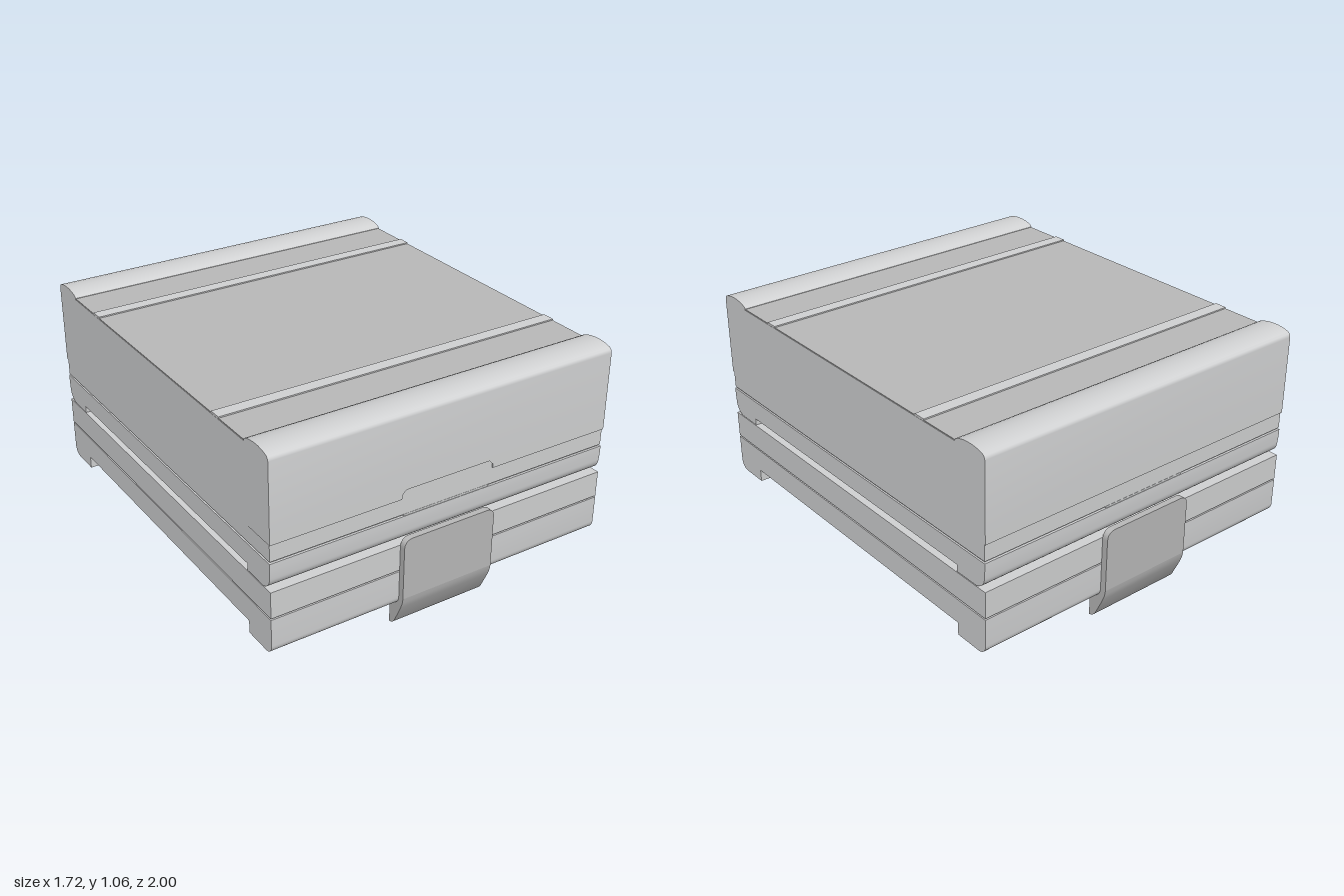
import * as THREE from 'three';
import { toCreasedNormals } from 'three/addons/utils/BufferGeometryUtils.js';

export function createModel() {
  const model = new THREE.Group();
  model.name = 'stackedCase';
  const bodyGrey = new THREE.MeshStandardMaterial({ color: 0xd2d3d4 });
  bodyGrey.name = 'light grey';
  const panelGrey = new THREE.MeshStandardMaterial({ color: 0xbababa });
  panelGrey.name = 'mid grey';

  const add = (name, geometry, material, parent = model) => {
    const mesh = new THREE.Mesh(geometry, material);
    mesh.name = name;
    parent.add(mesh);
    return mesh;
  };

  const box = (name, w, h, d, x, y, z, material, parent) => {
    const mesh = add(name, new THREE.BoxGeometry(w, h, d), material, parent);
    mesh.position.set(x, y, z);
    return mesh;
  };

  // Extrudes a (z, y) outline along x, centred on x = 0
  const extrudeX = (points, halfWidth) => {
    const shape = new THREE.Shape(points.map(([z, y]) => new THREE.Vector2(z, y)));
    const geometry = new THREE.ExtrudeGeometry(shape, { depth: halfWidth * 2, bevelEnabled: false });
    geometry.rotateY(-Math.PI / 2).translate(halfWidth, 0, 0);
    return toCreasedNormals(geometry, 0.6);
  };

  // Completes a half outline that runs from bottom to top on the +z side
  const mirrored = (half) => [...half, ...half.map(([z, y]) => [-z, y]).reverse()];

  // Quarter ellipse from angle a to b in degrees
  const arc = (z, y, rz, ry, a, b, n = 8) =>
    Array.from({ length: n + 1 }, (_, i) => {
      const t = THREE.MathUtils.degToRad(a + ((b - a) * i) / n);
      return [z + rz * Math.cos(t), y + ry * Math.sin(t)];
    });

  // Lid with a rounded lip along the front and back
  add('lid', extrudeX(mirrored([
    [0.965, 0.65], [0.965, 0.69], [0.972, 0.69],
    ...arc(0.942, 1.025, 0.03, 0.027, 0, 60, 5),
    [0.93, 1.056], [0.9, 1.06], [0.87, 1.06], [0.84, 1.057], [0.81, 1.05],
    [0.795, 1.043], [0.79, 1.036], [0.79, 1.03],
  ]), 0.86), bodyGrey);

  // Upper tray: skirt and foot rails separated by a fine groove
  add('upperSkirt', extrudeX(mirrored([[0.965, 0.57], [0.965, 0.65]]), 0.858), bodyGrey);
  add('upperGroove', extrudeX(mirrored([[0.957, 0.56], [0.957, 0.572]]), 0.852), bodyGrey);
  add('upperBase', extrudeX(mirrored([
    [0.79, 0.465], [0.79, 0.432],
    [0.87, 0.432], ...arc(0.905, 0.492, 0.06, 0.06, -90, 0, 10),
    [0.968, 0.53], [0.968, 0.562],
  ]), 0.86), bodyGrey);

  // Lower tray: two bands with a groove and hanging foot rails
  add('lowerBand', extrudeX(mirrored([[0.97, 0.302], [0.97, 0.428]]), 0.86), bodyGrey);
  add('lowerGroove', extrudeX(mirrored([[0.962, 0.29], [0.962, 0.305]]), 0.852), bodyGrey);
  add('lowerBase', extrudeX(mirrored([
    [0.79, 0.18], [0.79, 0.12], ...arc(0.925, 0.165, 0.045, 0.045, -90, 0), [0.97, 0.295],
  ]), 0.86), bodyGrey);

  // Deck panel with two raised ribs
  box('deckPanel', 1.716, 0.006, 1.58, 0, 1.031, 0, panelGrey);
  for (const s of [-1, 1]) box('deckRib', 1.718, 0.01, 0.06, 0, 1.035, s * 0.56, bodyGrey);

  // Trim strips under the lid face; the front one leaves a latch recess
  const trim = (points, z, depth) => {
    const shape = new THREE.Shape(points.map(([x, y]) => new THREE.Vector2(x, y)));
    const geometry = new THREE.ExtrudeGeometry(shape, { depth, bevelEnabled: false });
    return geometry.translate(0, 0, z);
  };
  add('frontTrim', trim([
    [-0.86, 0.65], [-0.235, 0.65], [-0.235, 0.668], [-0.215, 0.69], [-0.86, 0.69],
  ], 0.964, 0.008), bodyGrey);
  add('frontTrim', trim([
    [0.235, 0.65], [0.86, 0.65], [0.86, 0.69], [0.215, 0.69], [0.235, 0.668],
  ], 0.964, 0.008), bodyGrey);
  box('backTrim', 1.72, 0.04, 0.008, 0, 0.67, -0.968, bodyGrey);

  // Latches on both ends: rounded plate above a tapered hook
  const w = 0.235, r = 0.045;
  const plate = new THREE.Shape();
  plate.moveTo(-w, 0.17);
  plate.lineTo(w, 0.17);
  plate.lineTo(w, 0.465 - r);
  plate.quadraticCurveTo(w, 0.465, w - r, 0.465);
  plate.lineTo(-w + r, 0.465);
  plate.quadraticCurveTo(-w, 0.465, -w, 0.465 - r);
  const plateGeometry = new THREE.ExtrudeGeometry(plate, { depth: 0.03, bevelEnabled: false });
  plateGeometry.translate(0, 0, 0.97);
  const hookGeometry = extrudeX([
    [0.905, 0], [0.92, 0.003], [0.935, 0.015], [0.945, 0.03], [0.985, 0.115],
    [0.996, 0.145], [1, 0.17], [0.97, 0.17], [0.95, 0.125], [0.907, 0.12],
  ], w);
  for (const end of [0, 1]) {
    const latch = new THREE.Group();
    latch.name = end ? 'backLatch' : 'frontLatch';
    add('latchPlate', plateGeometry, panelGrey, latch);
    add('latchHook', hookGeometry, panelGrey, latch);
    // Slim catch above the latch
    box('latchCatch', 0.44, 0.01, 0.01, 0, 0.566, 0.961, bodyGrey, latch);
    latch.rotation.y = end * Math.PI;
    model.add(latch);
  }
  return model;
}
